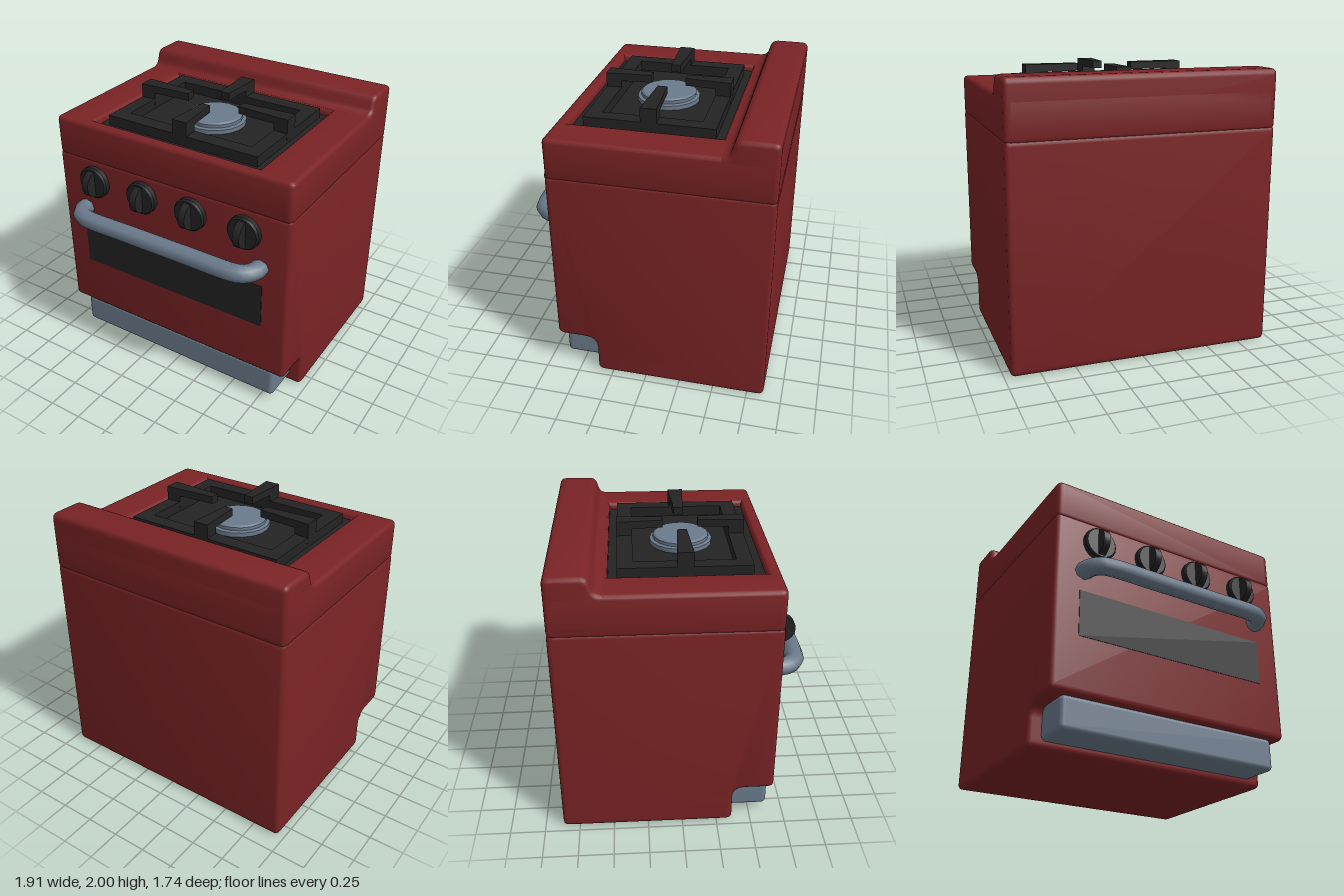
import * as THREE from 'three';
import { toCreasedNormals } from 'three/addons/utils/BufferGeometryUtils.js';
import { RoundedBoxGeometry } from 'three/addons/geometries/RoundedBoxGeometry.js';

const mat = (name, color) => {
  const m = new THREE.MeshStandardMaterial({ color });
  m.name = name;
  return m;
};

// Closed outline from [x, y, cornerRadius] points
function outline(points, Type = THREE.Shape) {
  const path = new Type();
  const n = points.length;
  points.forEach(([x, y, r = 0], i) => {
    const p = new THREE.Vector2(x, y);
    const toward = (q) => new THREE.Vector2(q[0], q[1]).sub(p).setLength(r).add(p);
    const a = toward(points[(i + n - 1) % n]);
    const b = toward(points[(i + 1) % n]);
    if (i === 0) path.moveTo(a.x, a.y);
    else path.lineTo(a.x, a.y);
    if (r > 0) path.quadraticCurveTo(x, y, b.x, b.y);
  });
  path.closePath();
  return path;
}

// Extrusion centred on z = 0, with softened ends kept inside the outline
function softExtrude(shape, depth, bevel) {
  const geo = new THREE.ExtrudeGeometry(shape, {
    depth: depth - 2 * bevel, curveSegments: 4, bevelEnabled: bevel > 0,
    bevelThickness: bevel, bevelSize: bevel, bevelOffset: -bevel, bevelSegments: 3,
  });
  geo.translate(0, 0, bevel - depth / 2);
  return toCreasedNormals(geo, 0.6);
}

export function createModel() {
  const red = mat('red enamel', 0x7a2325);
  const black = mat('black iron', 0x232323);
  const steel = mat('blue grey steel', 0x6b7b8c);
  const model = new THREE.Group();
  model.name = 'stove';

  const add = (name, geo, material, x = 0, y = 0, z = 0, parent = model) => {
    const mesh = new THREE.Mesh(geo, material);
    mesh.name = name;
    mesh.position.set(x, y, z);
    parent.add(mesh);
    return mesh;
  };
  const W = 1.91;
  // Side profile given as [z, y], extruded across the width
  const across = (points) => softExtrude(outline(points), W, 0.03).rotateY(-Math.PI / 2);

  // Body with the toe step at the bottom front
  add('body', across([
    [0.365, 0, 0.045], [0.365, 0.29, 0.09], [0.66, 0.29, 0.045],
    [0.66, 1.608, 0.04], [-0.87, 1.608, 0.04], [-0.87, 0, 0.045],
  ]), red);

  // Cooktop slab with an open well
  const plan = outline([
    [-W / 2, -0.87, 0.045], [W / 2, -0.87, 0.045], [W / 2, 0.66, 0.045], [-W / 2, 0.66, 0.045],
  ]);
  plan.holes.push(outline([[-0.67, -0.475], [-0.67, 0.57], [0.67, 0.57], [0.67, -0.475]], THREE.Path));
  add('cooktop', softExtrude(plan, 0.295, 0.03).rotateX(Math.PI / 2), red, 0, 1.7275, 0);

  // Raised splash panel at the back
  add('backPanel', across([
    [-0.49, 1.58], [-0.49, 1.872], [-0.555, 1.885, 0.035],
    [-0.59, 2, 0.045], [-0.87, 2, 0.045], [-0.87, 1.58, 0.04],
  ]), red);

  // Well floor
  add('wellFloor', new THREE.BoxGeometry(1.35, 0.009, 1.055), black, 0, 1.82, 0.0475);

  // Grate: square frame and four tapered prongs around the burner
  const grate = new THREE.Group();
  grate.name = 'grate';
  grate.position.set(0, 0, 0.038);
  model.add(grate);
  const frame = outline([[-0.605, -0.453], [0.605, -0.453], [0.605, 0.453], [-0.605, 0.453]]);
  frame.holes.push(outline([[-0.5, -0.345], [-0.5, 0.345], [0.5, 0.345], [0.5, -0.345]], THREE.Path));
  add('grateFrame', softExtrude(frame, 0.075, 0).rotateX(Math.PI / 2), black, 0, 1.86, 0, grate);
  for (let k = 0; k < 4; k++) {
    const [outer, inner] = k % 2 ? [0.455, 0.125] : [0.607, 0.21];
    const geo = softExtrude(outline([
      [outer, 1.85], [outer, 2], [inner, 2], [inner, 1.945], [outer - 0.11, 1.945], [outer - 0.11, 1.85],
    ]), 0.11, 0);
    const p = geo.attributes.position;
    for (let i = 0; i < p.count; i++) {
      const t = (p.getX(i) - inner) / (outer - inner);
      p.setZ(i, p.getZ(i) * THREE.MathUtils.lerp(0.62, 1.03, t));
    }
    geo.computeVertexNormals();
    add('grateProng', geo, black, 0, 0, 0, grate).rotation.y = k * Math.PI / 2;
  }

  // Burner
  const burner = new THREE.LatheGeometry([
    [0.225, 1.82], [0.225, 1.855], [0.2, 1.862], [0.2, 1.885], [0.185, 1.895], [0, 1.895],
  ].map(([r, y]) => new THREE.Vector2(r, y)), 18);
  add('burner', toCreasedNormals(burner, 0.5), steel, 0, 0, 0.042);

  // Control knobs: a chamfered disc with a half-round grip
  const disc = new THREE.LatheGeometry([
    [0.122, 0], [0.122, 0.035], [0.11, 0.048], [0, 0.048],
  ].map(([r, y]) => new THREE.Vector2(r, y)), 20).rotateX(Math.PI / 2);
  const discGeo = toCreasedNormals(disc, 0.5);
  const gripGeo = toCreasedNormals(
    new THREE.CylinderGeometry(0.1, 0.1, 0.052, 20).rotateZ(Math.PI / 2), 0.5);
  for (const x of [-0.63, -0.208, 0.2, 0.623]) {
    const knob = new THREE.Group();
    knob.name = 'knob';
    knob.position.set(x, 1.435, 0.658);
    model.add(knob);
    add('knobDisc', discGeo, black, 0, 0, 0, knob);
    add('knobGrip', gripGeo, black, 0, 0, 0.03, knob);
  }

  // Oven door handle
  const half = [[0.74, 0.62], [0.74, 0.69], [0.715, 0.75], [0.665, 0.79], [0.59, 0.805], [0.3, 0.805]];
  const path = [...half.map(([x, z]) => [-x, z]), ...half.slice().reverse()]
    .map(([x, z]) => new THREE.Vector3(x, 0, z));
  const handle = new THREE.TubeGeometry(new THREE.CatmullRomCurve3(path), 48, 0.067, 8);
  handle.scale(1, 0.91, 1);
  add('handle', handle, steel, 0, 1.19, 0);

  // Oven window
  add('ovenWindow', new THREE.BoxGeometry(1.53, 0.34, 0.008), black, -0.003, 0.87, 0.66);

  // Warming drawer
  add('drawer', new RoundedBoxGeometry(1.72, 0.24, 0.33, 3, 0.035), steel, 0, 0.173, 0.465);

  return model;
}
